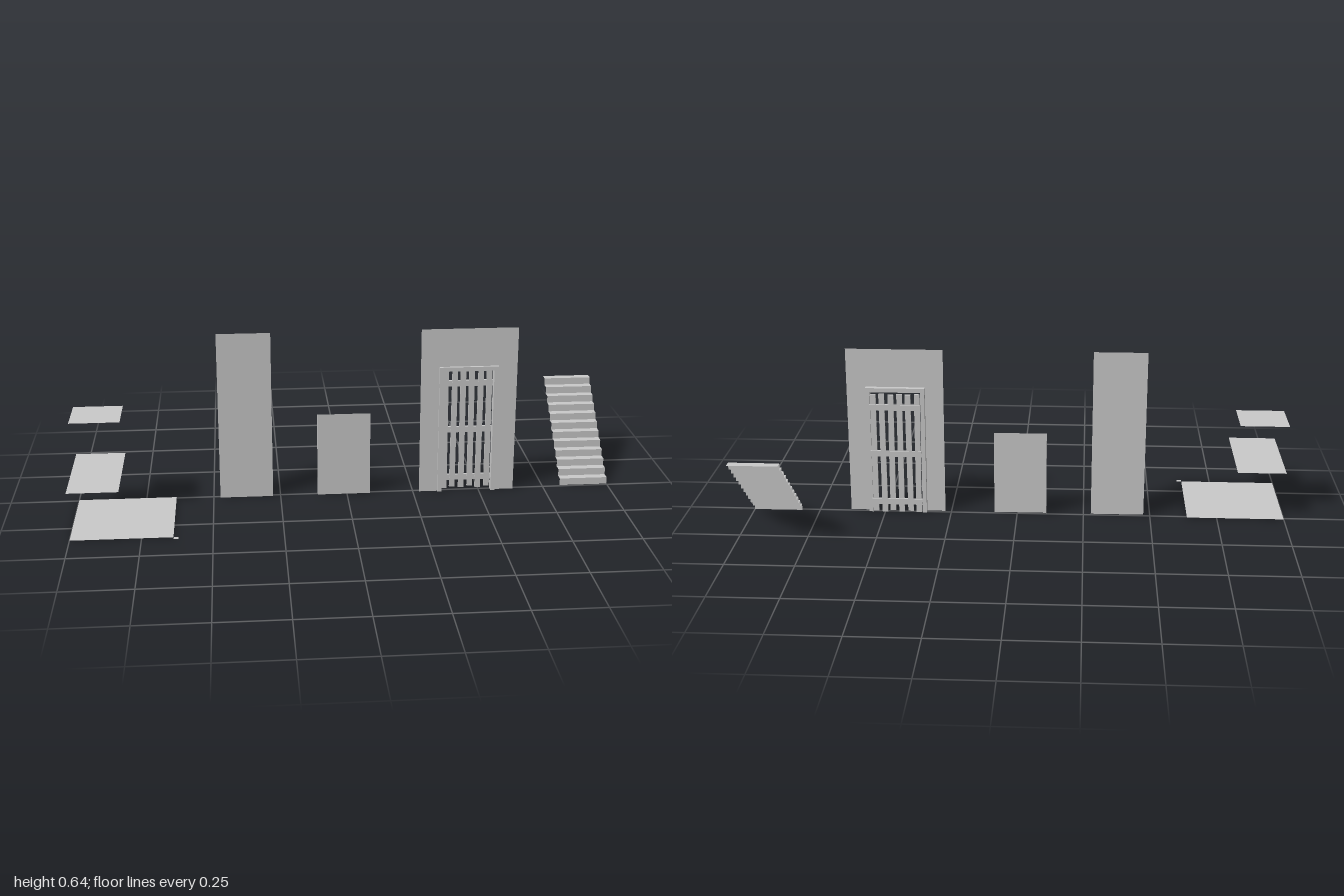
import * as THREE from 'three';

const mat = new THREE.MeshStandardMaterial({ color: 0xcccccc, side: THREE.DoubleSide, flatShading: true });

function add(parent, name, geometry, x = 0, y = 0, z = 0) {
  const mesh = new THREE.Mesh(geometry, mat);
  mesh.name = name;
  mesh.position.set(x, y, z);
  parent.add(mesh);
  return mesh;
}

// Box given by its limits on each axis
function box(parent, name, [x0, x1], [y0, y1], [z0, z1]) {
  return add(parent, name, new THREE.BoxGeometry(x1 - x0, y1 - y0, z1 - z0),
    (x0 + x1) / 2, (y0 + y1) / 2, (z0 + z1) / 2);
}

// Horizontal sheet
function sheet(parent, name, x0, x1, z0, z1, y) {
  const g = new THREE.PlaneGeometry(x1 - x0, z1 - z0).rotateX(-Math.PI / 2);
  return add(parent, name, g, (x0 + x1) / 2, y, (z0 + z1) / 2);
}

// Upright sheet facing the front
function upright(parent, name, x0, x1, y0, y1, z) {
  return add(parent, name, new THREE.PlaneGeometry(x1 - x0, y1 - y0), (x0 + x1) / 2, (y0 + y1) / 2, z);
}

// Arch outline: a rectangle with a doorway cut up from the ground
function archShape(x0, x1, top, ix0, ix1, iTop) {
  const points = [[x0, 0], [ix0, 0], [ix0, iTop], [ix1, iTop], [ix1, 0], [x1, 0], [x1, top], [x0, top]];
  return new THREE.Shape(points.map(([x, y]) => new THREE.Vector2(x, y)));
}

const FRONT = 0.01, BACK = -0.008;

// Wall panel with a return edge at its right end
function wallPanel(name, x0, x1, height) {
  const g = new THREE.Group();
  g.name = name;
  upright(g, 'wallFace', x0, x1, 0, height, FRONT);
  const edge = new THREE.PlaneGeometry(FRONT - BACK, height).rotateY(-Math.PI / 2);
  add(g, 'wallEdge', edge, x0, height / 2, (FRONT + BACK) / 2);
  return g;
}

function doorway() {
  const g = new THREE.Group();
  g.name = 'doorway';
  add(g, 'doorWall', new THREE.ShapeGeometry(archShape(0.273, 0.632, 0.637, 0.355, 0.548, 0.48)), 0, 0, FRONT);
  const frame = new THREE.ExtrudeGeometry(archShape(0.342, 0.561, 0.492, 0.358, 0.545, 0.476),
    { depth: 0.028, bevelEnabled: false });
  add(g, 'doorFrame', frame, 0, 0, BACK);

  // Uneven planks held by three cross bars
  const door = new THREE.Group();
  door.name = 'door';
  g.add(door);
  const bottoms = [0.003, 0.008, 0.004, 0.01, 0.003, 0.007];
  const tilts = [0.004, -0.005, 0.003, 0.005, -0.004, 0.002];
  bottoms.forEach((y, i) => {
    const x = 0.37 + i * 0.0325;
    const plank = box(door, 'doorPlank', [x - 0.0105, x + 0.0105], [y, 0.473 - y / 2], [-0.0145, BACK]);
    plank.rotation.z = tilts[i];
  });
  for (const y of [0.046, 0.238, 0.42]) {
    box(door, 'doorBar', [0.357, 0.547], [y - 0.011, y + 0.011], [-0.018, -0.009]);
  }
  return g;
}

// Open flight of treads and risers climbing to the back
function stairs() {
  const g = new THREE.Group();
  g.name = 'stairs';
  const steps = 12, rise = 0.32 / steps, run = 0.366 / steps;
  for (let i = 0; i < steps; i++) {
    const z = BACK - i * run;
    upright(g, 'riser', 0.818, 1, i * rise, (i + 1) * rise, z);
    sheet(g, 'tread', 0.818, 1, z - run, z, (i + 1) * rise);
  }
  return g;
}

function floors() {
  const g = new THREE.Group();
  g.name = 'floors';
  sheet(g, 'largeFloor', -1, -0.639, BACK, 0.354, 0);
  sheet(g, 'floorCorner', -0.638, -0.621, 0.354, 0.37, 0);
  sheet(g, 'longFloor', -1, -0.82, BACK, 0.37, 0.184);
  sheet(g, 'smallFloor', -1, -0.82, BACK, 0.171, 0.368);
  return g;
}

export function createModel() {
  const model = new THREE.Group();
  model.name = 'buildingParts';
  model.add(
    floors(),
    wallPanel('tallWall', -0.475, -0.278, 0.637),
    wallPanel('shortWall', -0.11, 0.087, 0.319),
    doorway(),
    stairs()
  );
  return model;
}
